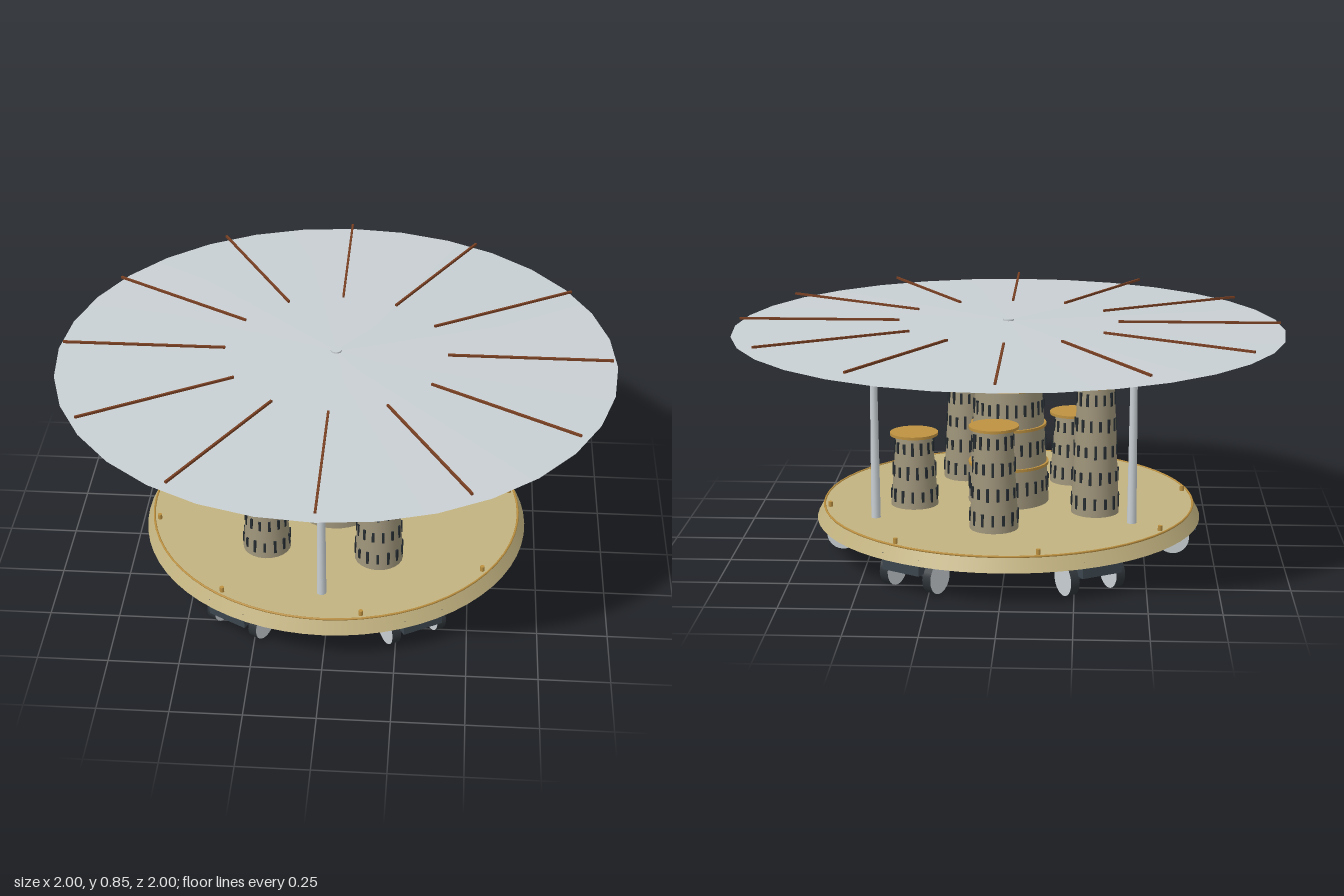
import * as THREE from 'three';

const mat = (name, color, side = THREE.FrontSide) => {
  const m = new THREE.MeshStandardMaterial({ color, side });
  m.name = name;
  return m;
};

export function createModel() {
  const sand = mat('sand', 0xc2b280, THREE.DoubleSide);
  const stone = mat('stone', 0x9e947a);
  const slitDark = mat('slit dark', 0x252c31);
  const gold = mat('gold', 0xbd9140);
  const silver = mat('silver', 0xc8cfd3);
  const copper = mat('copper', 0x783f22);
  const iron = mat('iron', 0x3c464e);
  const tyre = mat('tyre', 0x2f353a);

  const model = new THREE.Group();
  model.name = 'wheeledTowerPlatform';
  const add = (parent, name, geo, material, x = 0, y = 0, z = 0) => {
    const m = new THREE.Mesh(geo, material);
    m.name = name;
    m.position.set(x, y, z);
    parent.add(m);
    return m;
  };
  const group = (name, x = 0, y = 0, z = 0) => {
    const g = new THREE.Group();
    g.name = name;
    g.position.set(x, y, z);
    model.add(g);
    return g;
  };
  const rad = THREE.MathUtils.degToRad;

  // Deck: bevelled rim, flat top and recessed underside
  const disc = (r, up) => new THREE.CircleGeometry(r, 64).rotateX(up ? -Math.PI / 2 : Math.PI / 2);
  const rim = [[0.69, 0.14], [0.69, 0.12], [0.707, 0.12], [0.68, 0.17]].map(p => new THREE.Vector2(...p));
  for (let i = 0; i < 3; i++) {
    add(model, 'deckRim', new THREE.LatheGeometry([rim[i], rim[i + 1]], 64), sand);
  }
  add(model, 'deckTop', disc(0.68, true), sand, 0, 0.17, 0);
  add(model, 'deckUnderside', disc(0.69, false), sand, 0, 0.14, 0);
  add(model, 'deckTrim', new THREE.TorusGeometry(0.68, 0.004, 6, 64).rotateX(Math.PI / 2), gold, 0, 0.17, 0);

  // Studs around the deck edge
  for (let i = 0; i < 8; i++) {
    const a = rad(11.25 + 45 * i);
    add(model, 'deckStud', new THREE.CylinderGeometry(0.008, 0.008, 0.02, 8), gold,
      0.66 * Math.sin(a), 0.179, 0.66 * Math.cos(a));
  }

  // One row of narrow slits around a tapering wall
  const slitRow = (parent, y, r, height, count, seed) => {
    for (let i = 0; i < count; i++) {
      const h = height * (0.75 + 0.25 * ((i * 7 + seed * 5) % 4) / 3);
      const a = ((i + 0.5 * (seed % 2)) / count) * Math.PI * 2;
      const slit = add(parent, 'slit', new THREE.BoxGeometry(0.009, h, 0.008), slitDark,
        r * Math.sin(a), y, r * Math.cos(a));
      slit.rotation.y = a;
    }
  };

  // Central tower: four stacked tapering storeys
  const central = group('centralTower', 0, 0.17, 0);
  const storey = 0.145;
  for (let i = 0; i < 4; i++) {
    const bottom = 0.149 - i * 0.009, top = bottom - 0.009, y = (i + 0.5) * storey;
    add(central, 'storey', new THREE.CylinderGeometry(top, bottom, storey, 32), stone, 0, y, 0);
    slitRow(central, y, (top + bottom) / 2, 0.055, 24, i);
    if (i < 3) {
      add(central, 'storeyRing', new THREE.CylinderGeometry(top + 0.008, top + 0.008, 0.01, 32), gold, 0, (i + 1) * storey, 0);
    }
  }
  add(central, 'centralMast', new THREE.CylinderGeometry(0.023, 0.03, 0.08, 16), silver, 0, 0.615, 0);

  // Five outer towers
  [0.365, 0.265, 0.475, 0.365, 0.265].forEach((h, i) => {
    const a = rad(60 + 72 * i);
    const tower = group('outerTower', 0.35 * Math.cos(a), 0.17, 0.35 * Math.sin(a));
    add(tower, 'towerWall', new THREE.CylinderGeometry(0.066, 0.087, h, 24), stone, 0, h / 2, 0);
    add(tower, 'towerCrown', new THREE.CylinderGeometry(0.088, 0.088, 0.01, 24), gold, 0, h + 0.002, 0);
    const rows = Math.round(h / 0.095);
    for (let k = 0; k < rows; k++) {
      const t = (k + 0.5) / rows;
      slitRow(tower, t * h, 0.087 - 0.021 * t, 0.05, 14, k);
    }
  });

  // Three poles carrying the canopy
  for (let i = 0; i < 3; i++) {
    const a = rad(91.7 + 120 * i);
    add(model, 'canopyPole', new THREE.CylinderGeometry(0.012, 0.017, 0.65, 12), silver,
      0.53 * Math.cos(a), 0.495, 0.53 * Math.sin(a));
  }

  // Shallow canopy with gold lining, hub and twelve ribs
  add(model, 'canopyTop', new THREE.ConeGeometry(1, 0.03, 32, 1, true), silver, 0, 0.83, 0);
  add(model, 'canopyLining', new THREE.CircleGeometry(1, 32).rotateX(Math.PI / 2), gold, 0, 0.813, 0);
  add(model, 'canopyHub', new THREE.CylinderGeometry(0.02, 0.02, 0.008, 16), silver, 0, 0.846, 0);
  for (let i = 0; i < 12; i++) {
    const a = rad(30 * i);
    const rib = add(model, 'canopyRib', new THREE.BoxGeometry(0.008, 0.008, 0.585), copper,
      0.69 * Math.sin(a), 0.843, 0.69 * Math.cos(a));
    rib.rotation.y = a;
  }

  // Six two-wheeled bogies under the deck edge
  for (let i = 0; i < 6; i++) {
    const a = rad(60 * i);
    const bogie = group('bogie', 0.607 * Math.cos(a), 0, 0.607 * Math.sin(a));
    bogie.rotation.y = -a;
    add(bogie, 'bracket', new THREE.BoxGeometry(0.17, 0.06, 0.152), iron, 0, 0.11, 0);
    add(bogie, 'axle', new THREE.CylinderGeometry(0.012, 0.012, 0.18, 8).rotateX(Math.PI / 2), iron, 0, 0.06, 0);
    for (const s of [-1, 1]) {
      const wheel = new THREE.CylinderGeometry(0.059, 0.059, 0.034, 24).rotateX(Math.PI / 2);
      add(bogie, 'wheel', wheel, [tyre, silver, silver], 0, 0.059, s * 0.09);
    }
  }
  return model;
}
